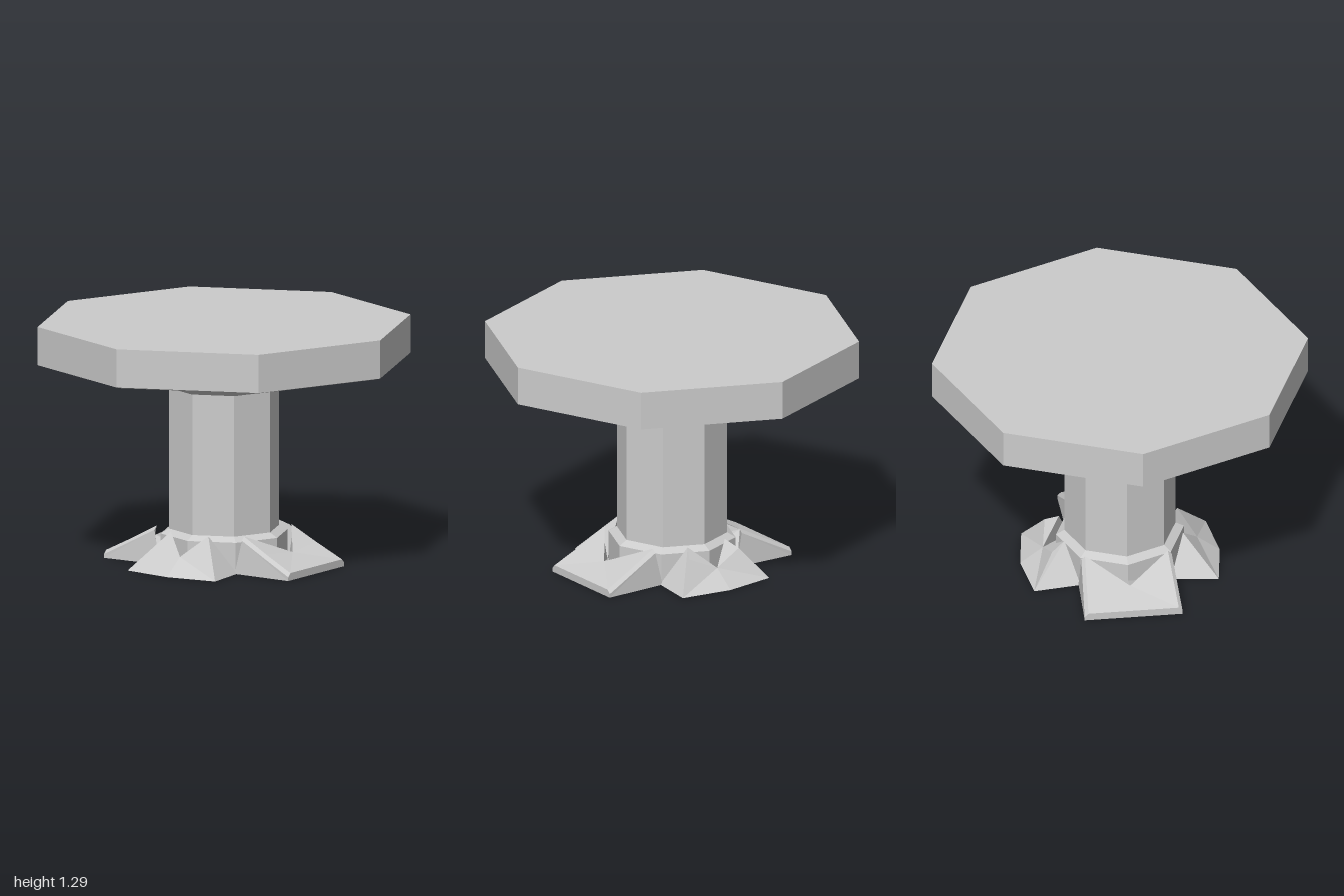
import * as THREE from 'three';

const material = new THREE.MeshStandardMaterial({ color: 0xcccccc, flatShading: true, side: THREE.DoubleSide });

// Eight-sided turned part from [radius, height] pairs listed bottom to top
function octagonal(name, profile) {
  const geometry = new THREE.LatheGeometry(profile.map(([r, y]) => new THREE.Vector2(r, y)), 8).toNonIndexed();
  geometry.computeVertexNormals();
  const mesh = new THREE.Mesh(geometry, material);
  mesh.name = name;
  return mesh;
}

// Wedge foot pointing along +z: half its faces are listed, the rest mirrored.
// Points are [sideways, up, outward].
function foot(name, angle, { peak, mid, corner, front, notch, chamfer = 0 }) {
  const lower = ([x, y, z]) => [x + chamfer, y - chamfer, z];
  const [peakLow, midLow, cornerLow] = [peak, mid, corner].map(lower);
  const cornerBase = [cornerLow[0], 0, corner[2]];
  const frontBase = [0, 0, front[2]];
  const inner = [0.25, 0, 0.24];
  const core = [0, 0.02, 0.2];
  const faces = [
    [notch, front, corner, mid, peak],                  // sloping top
    [peakLow, midLow, cornerLow, cornerBase, inner],    // side
    [core, inner, cornerBase, frontBase],               // underside
    [notch, peak, peakLow, inner, core],                // notch wall
  ];
  if (chamfer) faces.push([peak, mid, midLow, peakLow], [mid, corner, cornerLow, midLow]);
  if (front[1] > 0) faces.push([front, frontBase, cornerBase, cornerLow, corner]); // front lip

  const positions = [];
  const flip = ([x, y, z]) => [-x, y, z];
  for (const face of faces) {
    for (let i = 1; i < face.length - 1; i++) {
      const [a, b, c] = [face[0], face[i], face[i + 1]];
      positions.push(...a, ...b, ...c, ...flip(a), ...flip(c), ...flip(b));
    }
  }
  const geometry = new THREE.BufferGeometry();
  geometry.setAttribute('position', new THREE.Float32BufferAttribute(positions, 3));
  geometry.computeVertexNormals();
  const mesh = new THREE.Mesh(geometry, material);
  mesh.name = name;
  mesh.rotation.y = angle;
  return mesh;
}

export function createModel() {
  const table = new THREE.Group();
  table.name = 'octagonalTable';

  // Thick top, hollowed underneath inside a bevelled rim
  table.add(octagonal('tableTop', [
    [0.38, 1.1], [0.86, 1.15], [0.93, 1.085], [0.96, 1.08], [1, 1.09], [1, 1.295], [0, 1.295],
  ]));

  // Collar flaring from the column into the top
  table.add(octagonal('collar', [
    [0.29, 0.945], [0.3, 0.945], [0.335, 0.97], [0.343, 1.025], [0.39, 1.05], [0.44, 1.085], [0.48, 1.11],
  ]));

  table.add(octagonal('column', [[0.295, 0.17], [0.295, 0.955]]));

  // Base block with a bevelled upper edge
  table.add(octagonal('base', [[0, 0], [0.34, 0], [0.34, 0.165], [0.295, 0.19]]));

  // Narrow-topped feet front and back
  const splayed = { corner: [0.28, 0, 0.49], front: [0, 0, 0.53], notch: [0, 0.09, 0.41] };
  table.add(foot('frontFoot', 0, { ...splayed, peak: [0.12, 0.2, 0.32], mid: [0.2, 0.1, 0.405] }));
  table.add(foot('backFoot', Math.PI, { ...splayed, peak: [0.12, 0.2, 0.31], mid: [0.16, 0.16, 0.38] }));

  // Broad feet with a front lip and chamfered sides
  const broad = {
    peak: [0.22, 0.2, 0.28], mid: [0.23, 0.12, 0.43], corner: [0.24, 0.04, 0.59],
    front: [0, 0.04, 0.59], notch: [0, 0.1, 0.44], chamfer: 0.02,
  };
  table.add(foot('leftFoot', Math.PI / 2, broad));
  table.add(foot('rightFoot', -Math.PI / 2, broad));

  return table;
}
